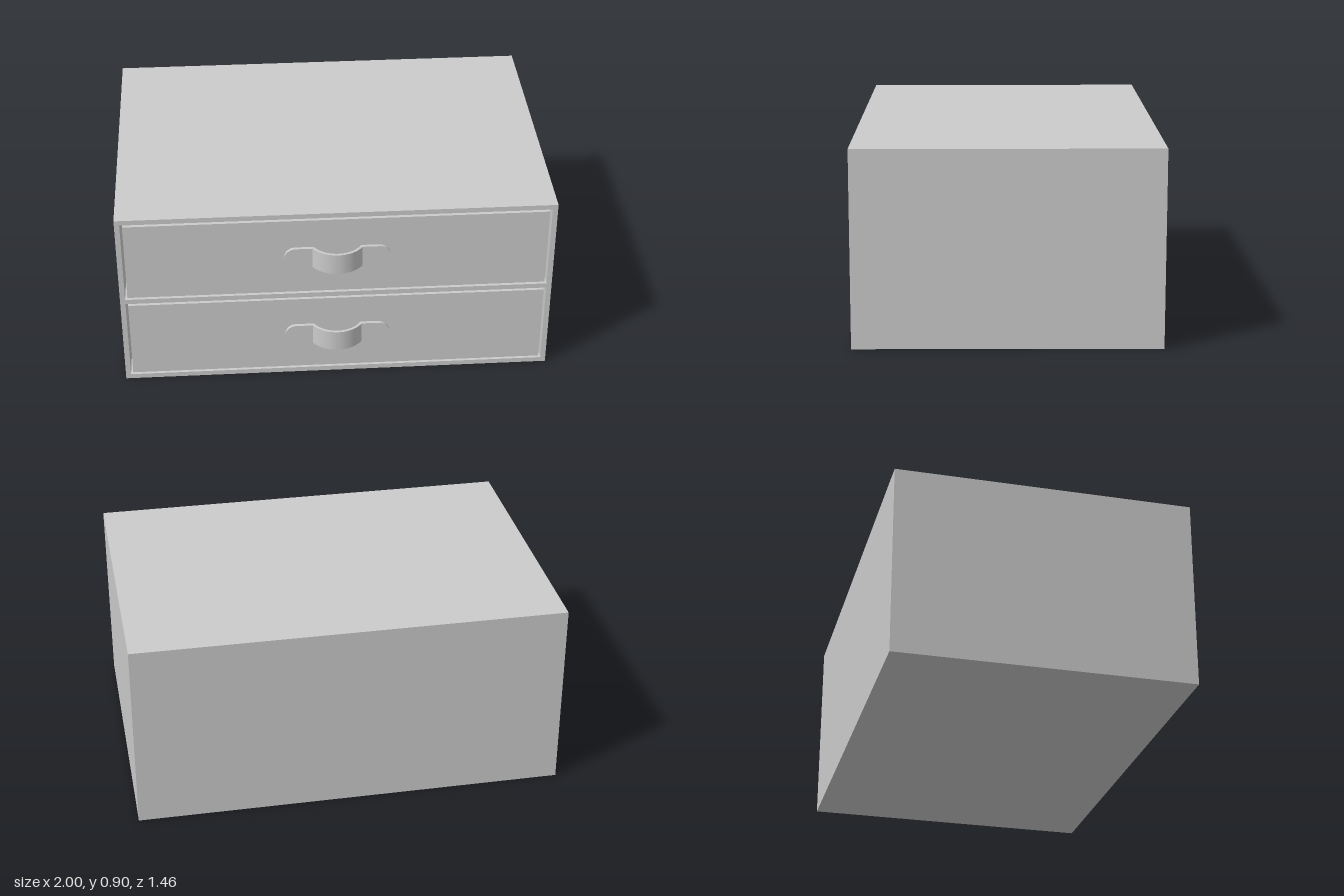
import * as THREE from 'three';
import { toCreasedNormals } from 'three/addons/utils/BufferGeometryUtils.js';

const FRONT = 0.655, BACK = -0.733, HEIGHT = 0.9;
const material = new THREE.MeshStandardMaterial({ color: 0xcccccc });

function part(name, geometry, parent, x = 0, y = 0, z = 0) {
  const mesh = new THREE.Mesh(geometry, material);
  mesh.name = name;
  mesh.position.set(x, y, z);
  parent.add(mesh);
  return mesh;
}

function extrude(shape, depth) {
  const geometry = new THREE.ExtrudeGeometry(shape, { depth, bevelEnabled: false, curveSegments: 24 });
  return toCreasedNormals(geometry, 0.6);
}

function rectangle(target, x0, y0, x1, y1) {
  target.moveTo(x0, y0);
  target.lineTo(x1, y0);
  target.lineTo(x1, y1);
  target.lineTo(x0, y1);
  target.closePath();
  return target;
}

// Bowed pull between two flat mounting tabs; its back lies on z = 0
function createHandle() {
  const handle = new THREE.Group();
  handle.name = 'handle';
  const height = 0.103, r = height / 2, tabEnd = 0.243, tabStart = 0.11;

  // Curved strip drawn in plan, extruded vertically
  const outer = 0.138, inner = 0.125, centre = -0.063;
  const a = Math.asin(-centre / outer), b = Math.asin(-centre / inner);
  const strip = new THREE.Shape();
  strip.absarc(0, centre, outer, a, Math.PI - a, false);
  strip.absarc(0, centre, inner, Math.PI - b, b, true);
  strip.closePath();
  part('handleBow', extrude(strip, height).rotateX(Math.PI / 2), handle, 0, r, 0);

  // Tab with a rounded outer end
  const tab = new THREE.Shape();
  tab.moveTo(tabStart, -r);
  tab.lineTo(tabEnd - r, -r);
  tab.absarc(tabEnd - r, 0, r, -Math.PI / 2, Math.PI / 2, false);
  tab.lineTo(tabStart, r);
  tab.closePath();
  for (const side of ['left', 'right']) {
    const mesh = part(side + 'HandleTab', extrude(tab, 0.015), handle);
    if (side === 'right') {
      mesh.rotation.z = Math.PI;
    }
  }
  return handle;
}

export function createModel() {
  const model = new THREE.Group();
  model.name = 'drawerUnit';
  const halfOpening = 0.976, gap = 0.011, backThickness = 0.03;
  const openings = [
    { name: 'lowerDrawer', y0: 0.024, y1: 0.438 },
    { name: 'upperDrawer', y0: 0.462, y1: 0.876 },
  ];

  // Casing with two drawer openings, closed by a back panel
  const casing = rectangle(new THREE.Shape(), -1, 0, 1, HEIGHT);
  for (const { y0, y1 } of openings) {
    casing.holes.push(rectangle(new THREE.Path(), -halfOpening, y0, halfOpening, y1));
  }
  const casingBack = BACK + backThickness;
  part('casing', extrude(casing, FRONT - casingBack), model, 0, 0, casingBack);
  part('backPanel', new THREE.BoxGeometry(2, HEIGHT, backThickness), model,
    0, HEIGHT / 2, BACK + backThickness / 2);

  // Drawers sit flush with the casing, with a narrow gap all round
  const depth = FRONT - casingBack - 0.02;
  for (const { name, y0, y1 } of openings) {
    const drawer = new THREE.Group();
    drawer.name = name;
    drawer.position.set(0, (y0 + y1) / 2, FRONT);
    part('drawerBody', new THREE.BoxGeometry(2 * (halfOpening - gap), y1 - y0 - 2 * gap, depth),
      drawer, 0, 0, -depth / 2);
    drawer.add(createHandle());
    model.add(drawer);
  }
  return model;
}
